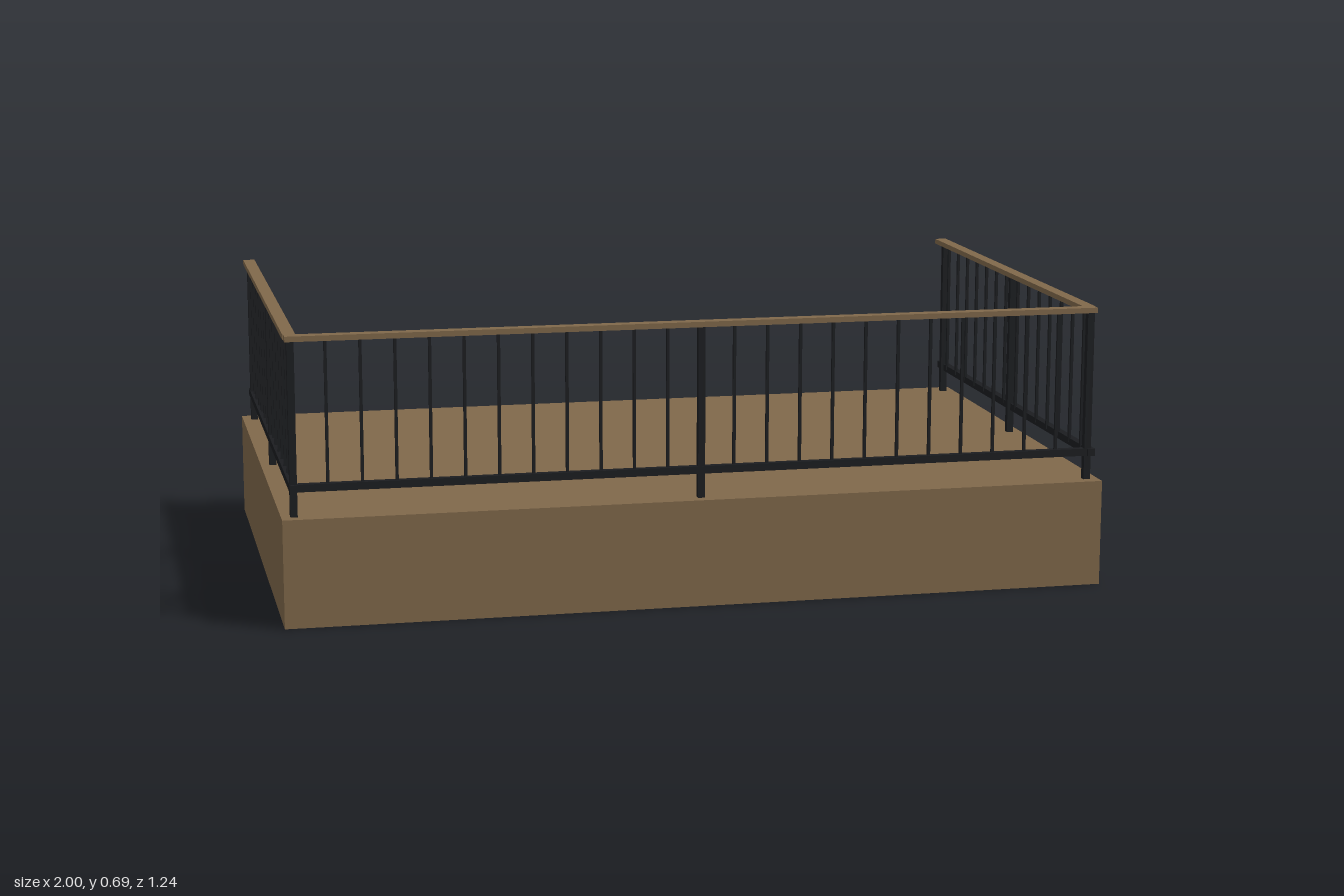
import * as THREE from 'three';

export function createModel() {
  const model = new THREE.Group();
  model.name = 'deck';
  const wood = new THREE.MeshStandardMaterial({ color: 0x80684a, side: THREE.DoubleSide });
  const metal = new THREE.MeshStandardMaterial({ color: 0x1b1d20 });

  const W = 2, D = 1.24, H = 0.26;      // platform size
  const RX = 0.97, RZ = 0.585;          // railing centre lines
  const RAIL_TOP = 0.687, LOW_Y = 0.328;

  function box(parent, name, material, size, position) {
    const mesh = new THREE.Mesh(new THREE.BoxGeometry(...size), material);
    mesh.name = name;
    mesh.position.set(...position);
    parent.add(mesh);
  }
  function panel(name, w, h, position, rotation) {
    const mesh = new THREE.Mesh(new THREE.PlaneGeometry(w, h), wood);
    mesh.name = name;
    mesh.position.set(...position);
    mesh.rotation.set(...rotation);
    model.add(mesh);
  }
  const post = (g, x, z) =>
    box(g, 'post', metal, [0.017, RAIL_TOP - 0.01 - H, 0.017], [x, (H + RAIL_TOP - 0.01) / 2, z]);
  const baluster = (g, x, z) =>
    box(g, 'baluster', metal, [0.007, 0.35, 0.007], [x, 0.502, z]);

  // Platform: thin panels, open at the back
  panel('deckTop', W, D, [0, H, 0], [-Math.PI / 2, 0, 0]);
  panel('deckBottom', W, D, [0, 0, 0], [Math.PI / 2, 0, 0]);
  panel('frontWall', W, H, [0, H / 2, D / 2], [0, 0, 0]);
  for (const s of [-1, 1]) panel('sideWall', D, H, [s * W / 2, H / 2, 0], [0, s * Math.PI / 2, 0]);

  // Front railing
  const front = new THREE.Group();
  front.name = 'frontRailing';
  model.add(front);
  box(front, 'handrail', wood, [1.966, 0.013, 0.03], [0, RAIL_TOP - 0.0065, RZ]);
  box(front, 'lowerRail', metal, [2 * RX, 0.018, 0.018], [0, LOW_Y, RZ]);
  for (let i = -12; i <= 12; i++) {
    const x = i * RX / 12;
    if (i % 12 === 0) post(front, x, RZ);
    else baluster(front, x, RZ);
  }

  // Side railings, running to the back edge
  for (const s of [-1, 1]) {
    const side = new THREE.Group();
    side.name = s > 0 ? 'leftRailing' : 'rightRailing';
    model.add(side);
    const x = s * RX;
    box(side, 'handrail', wood, [0.03, 0.013, 1.19], [x, RAIL_TOP - 0.0065, -0.025]);
    box(side, 'lowerRail', metal, [0.018, 0.018, 1.22], [x + (s > 0 ? 0.008 : 0), LOW_Y, -0.01]);
    for (const z of [0.007, -0.572]) post(side, x, z);
    for (const start of [0.545, -0.042])
      for (let i = 0; i < 7; i++) baluster(side, x, start - i * 0.0822);
  }
  return model;
}
